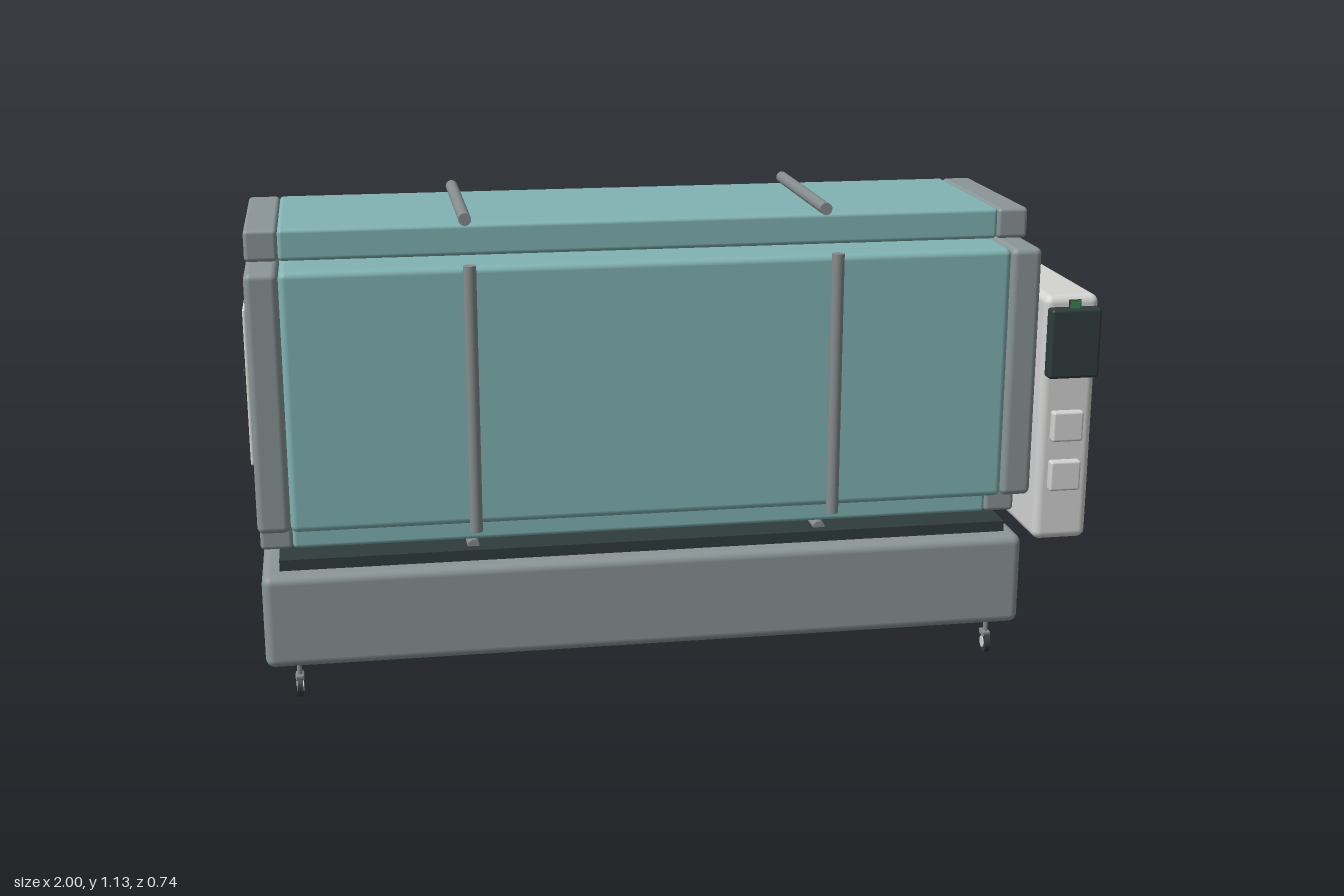
import * as THREE from 'three';
import { RoundedBoxGeometry } from 'three/addons/geometries/RoundedBoxGeometry.js';

function mat(name, color) {
  const m = new THREE.MeshStandardMaterial({ color });
  m.name = name;
  return m;
}

export function createModel() {
  const model = new THREE.Group();
  model.name = 'insulatedMachine';
  const teal = mat('teal panel', 0x82b4b4);
  const gray = mat('gray metal', 0x8b9597);
  const rodGray = mat('rod gray', 0x868c8e);
  const white = mat('off white', 0xd4d5d3);
  const dark = mat('dark plastic', 0x2f3b3c);
  const green = mat('green pipe', 0x3a8450);

  // Box given by its limits on each axis; r > 0 rounds the edges
  function box(name, m, [x0, x1], [y0, y1], [z0, z1], r = 0, parent = model) {
    const w = x1 - x0, h = y1 - y0, d = z1 - z0;
    const g = r ? new RoundedBoxGeometry(w, h, d, 4, r) : new THREE.BoxGeometry(w, h, d);
    const mesh = new THREE.Mesh(g, m);
    mesh.name = name;
    mesh.position.set((x0 + x1) / 2, (y0 + y1) / 2, (z0 + z1) / 2);
    parent.add(mesh);
    return mesh;
  }

  // Cylinder along an axis, centred at pos
  function rod(name, m, axis, length, radius, pos, parent = model) {
    const mesh = new THREE.Mesh(new THREE.CylinderGeometry(radius, radius, length, 24), m);
    mesh.name = name;
    if (axis === 'x') mesh.rotation.z = Math.PI / 2;
    if (axis === 'z') mesh.rotation.x = Math.PI / 2;
    mesh.position.set(...pos);
    parent.add(mesh);
    return mesh;
  }

  // Base and dark tray
  box('base', gray, [-0.98, 0.85], [0.082, 0.31], [-0.306, 0.302], 0.022);
  box('tray', dark, [-0.938, 0.815], [0.305, 0.336], [-0.265, 0.26]);

  // Chamber: bottom, middle and top layers, each teal with gray end frames
  const layers = [
    ['bottom', [0.35, 0.425], [-0.23, 0.224], 0.01],
    ['middle', [0.427, 1.032], [-0.344, 0.339], 0.016],
    ['top', [1.034, 1.107], [-0.23, 0.224], 0.01],
  ];
  for (const [name, y, z, r] of layers) {
    box(name + 'Panel', teal, [-0.905, 0.776], y, z, r);
    box(name + 'LeftFrame', gray, [0.776, 0.85], y, z, r);
    box(name + 'RightFrame', gray, [-0.98, -0.905], y, z, r);
  }

  // Rods strapped around the chamber
  for (const x of [-0.485, 0.355]) {
    rod('frontRod', rodGray, 'y', 0.622, 0.0145, [x, 0.727, 0.354]);
    rod('backRod', rodGray, 'y', 0.622, 0.0145, [x, 0.727, -0.358]);
    rod('topRod', rodGray, 'z', 0.47, 0.0145, [x, 1.119, -0.003]);
    rod('bottomRod', rodGray, 'z', 0.47, 0.0145, [x, 0.337, -0.003]);
  }

  // End door with handle
  box('door', white, [-0.993, -0.975], [0.545, 0.918], [-0.193, 0.182], 0.005);
  box('doorHandle', dark, [-1, -0.99], [0.68, 0.77], [0.135, 0.158], 0.003);

  // Control cabinet
  const cabinet = new THREE.Group();
  cabinet.name = 'controlCabinet';
  model.add(cabinet);
  box('cabinetBody', white, [0.863, 0.996], [0.31, 0.916], [-0.344, 0.34], 0.02, cabinet);
  box('screen', dark, [0.868, 0.992], [0.722, 0.89], [0.335, 0.372], 0.008, cabinet);
  box('lampHolder', dark, [0.914, 0.942], [0.885, 0.91], [0.354, 0.36], 0, cabinet);
  box('lamp', green, [0.916, 0.94], [0.89, 0.909], [0.36, 0.362], 0, cabinet);
  for (const y of [0.6, 0.477]) {
    box('button', white, [0.89, 0.966], [y - 0.037, y + 0.037], [0.335, 0.361], 0.006, cabinet);
  }
  box('backLatch', dark, [0.885, 0.972], [0.697, 0.756], [-0.369, -0.335], 0.006, cabinet);

  // Green pipes
  rod('drainPipe', green, 'y', 0.175, 0.0145, [0.928, 0.235, -0.324]);
  rod('supplyPipe', green, 'x', 0.935, 0.0145, [0.4, 0.335, -0.324]);

  // Casters
  for (const x of [-0.904, 0.776]) {
    for (const z of [0.272, -0.278]) {
      const caster = new THREE.Group();
      caster.name = 'caster';
      caster.position.set(x, 0, z);
      model.add(caster);
      rod('stem', rodGray, 'y', 0.045, 0.006, [0, 0.065, 0], caster);
      box('fork', rodGray, [-0.01, 0.01], [0.042, 0.056], [-0.02, 0.012], 0.003, caster);
      rod('wheel', dark, 'x', 0.013, 0.026, [0, 0.026, 0], caster);
      rod('hub', white, 'x', 0.017, 0.014, [0, 0.026, 0], caster);
    }
  }
  return model;
}
